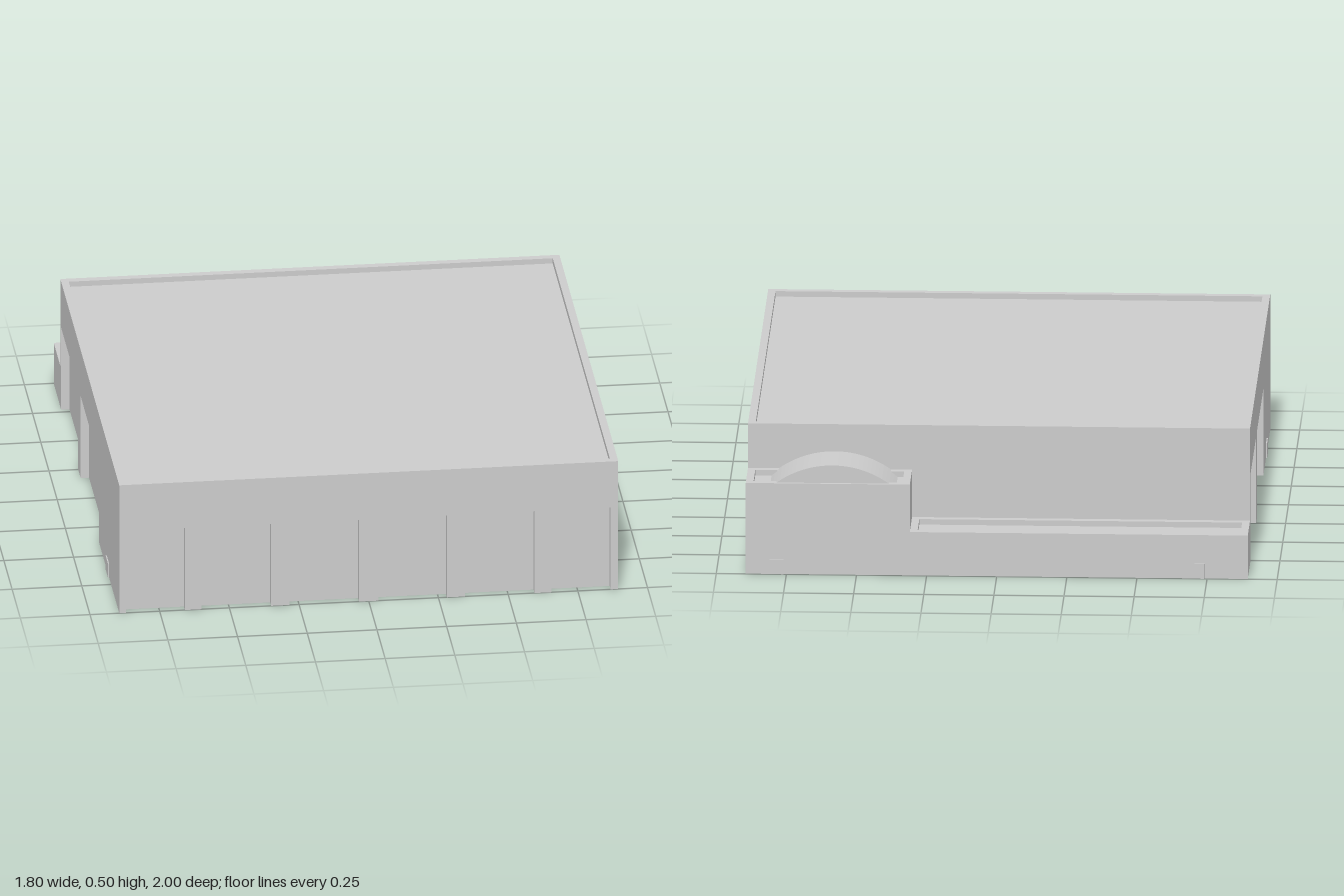
import * as THREE from 'three';

const material = new THREE.MeshStandardMaterial({ color: 0xcccccc, side: THREE.DoubleSide, flatShading: true });
const X = 0.895, FRONT = 1, MID = -0.795, BACK = -0.996; // outer planes of the shell
const RIM = 0.027, SINK = 0.02, DOOR_H = 0.32, RECESS = 0.03;

function add(parent, name, geometry, x = 0, y = 0, z = 0) {
  const mesh = new THREE.Mesh(geometry, material);
  mesh.name = name;
  mesh.position.set(x, y, z);
  parent.add(mesh);
  return mesh;
}

// Group whose local x runs along a wall and whose local z points outwards
function side(parent, name, angle, distance) {
  const group = new THREE.Group();
  group.name = name;
  group.rotation.y = angle;
  group.position.set(Math.sin(angle) * distance, 0, Math.cos(angle) * distance);
  parent.add(group);
  return group;
}

// Thin wall from u0 to u1 with door notches along its foot and recessed doors behind them
function wall(parent, name, u0, u1, y0, y1, doors = []) {
  const points = [[u0, y0]];
  for (const [a, b] of doors) points.push([a, y0], [a, DOOR_H], [b, DOOR_H], [b, y0]);
  points.push([u1, y0], [u1, y1], [u0, y1]);
  const shape = new THREE.Shape(points.map(([u, y]) => new THREE.Vector2(u, y)));
  add(parent, name, new THREE.ShapeGeometry(shape));
  for (const [a, b] of doors) {
    const mid = (a + b) / 2;
    add(parent, 'doorPanel', new THREE.PlaneGeometry(b - a, DOOR_H), mid, DOOR_H / 2, -RECESS);
    for (const u of [a, b]) {
      const jamb = add(parent, 'doorJamb', new THREE.PlaneGeometry(RECESS, DOOR_H), u, DOOR_H / 2, -RECESS / 2);
      jamb.rotation.y = u === a ? Math.PI / 2 : -Math.PI / 2;
    }
    add(parent, 'doorLintel', new THREE.PlaneGeometry(b - a, RECESS), mid, DOOR_H, -RECESS / 2).rotation.x = Math.PI / 2;
  }
}

// Small door slab standing slightly proud of a wall
function slab(parent, a, b) {
  add(parent, 'smallDoor', new THREE.BoxGeometry(b - a, 0.055, 0.004), (a + b) / 2, 0.0275, 0.002);
}

function rectangle(PathType, x0, x1, z0, z1) {
  return new PathType([[x0, -z1], [x1, -z1], [x1, -z0], [x0, -z0]].map(([x, y]) => new THREE.Vector2(x, y)));
}

// Flat roof sunk behind a raised rim
function roof(parent, name, x0, x1, z0, z1, top) {
  const frame = rectangle(THREE.Shape, x0, x1, z0, z1);
  frame.holes.push(rectangle(THREE.Path, x0 + RIM, x1 - RIM, z0 + RIM, z1 - RIM));
  const rim = new THREE.ExtrudeGeometry(frame, { depth: SINK, bevelEnabled: false });
  add(parent, name + 'Rim', rim, 0, top - SINK, 0).rotation.x = -Math.PI / 2;
  const deck = new THREE.PlaneGeometry(x1 - x0 - 2 * RIM, z1 - z0 - 2 * RIM);
  add(parent, name, deck, (x0 + x1) / 2, top - SINK, (z0 + z1) / 2).rotation.x = -Math.PI / 2;
}

export function createModel() {
  const model = new THREE.Group();
  model.name = 'building';
  const H = 0.5, HIGH = 0.335, LOW = 0.16, SPLIT = 0.31;

  // Front with six doors
  const front = side(model, 'front', 0, FRONT);
  wall(front, 'frontWall', -X, X, 0, H - SINK, [
    [-0.87, -0.66], [-0.6, -0.35], [-0.285, -0.035], [0.035, 0.28], [0.345, 0.595], [0.655, 0.868],
  ]);

  // Left side: local x runs towards the back
  const left = side(model, 'leftSide', Math.PI / 2, X);
  wall(left, 'leftWall', -FRONT, -MID, 0, H - SINK);
  wall(left, 'leftAnnexWall', -MID, -BACK, 0, HIGH - SINK);
  for (const [a, b] of [[0.42, 0.49], [0.3, 0.37], [-0.42, -0.15]]) slab(left, a, b);

  // Right side with two wide doors: local x runs towards the front
  const right = side(model, 'rightSide', -Math.PI / 2, X);
  wall(right, 'rightWall', MID, FRONT, 0, H - SINK, [[-0.77, -0.25], [-0.175, 0.385]]);
  wall(right, 'rightAnnexWall', BACK, MID, 0, LOW - SINK);
  slab(right, 0.62, 0.69);

  // Back of the annexes: local x is mirrored
  const back = side(model, 'back', Math.PI, -BACK);
  wall(back, 'highAnnexBack', -X, -SPLIT, 0, HIGH - SINK);
  wall(back, 'lowAnnexBack', -SPLIT, X, 0, LOW - SINK);
  slab(back, -0.84, -0.76);
  slab(back, 0.705, 0.74);

  // Hall wall above the annex roofs, and the step between them
  const hallBack = side(model, 'hallBack', Math.PI, -MID);
  wall(hallBack, 'hallBackOverHighAnnex', -X, -SPLIT, HIGH - SINK, H - SINK);
  wall(hallBack, 'hallBackOverLowAnnex', -SPLIT, X, LOW - SINK, H - SINK);
  const step = side(model, 'annexStep', -Math.PI / 2, -SPLIT);
  wall(step, 'annexStepWall', BACK, MID, LOW - SINK, HIGH - SINK);

  // Roofs
  roof(model, 'hallRoof', -X, X, MID, FRONT, H);
  roof(model, 'lowAnnexRoof', -X, SPLIT, BACK, MID, LOW);
  roof(model, 'highAnnexRoof', SPLIT, X, BACK, MID, HIGH);

  // Shallow barrel vault on the high annex
  const base = HIGH - SINK, rise = 0.4 - base, half = 0.225;
  const radius = (half * half + rise * rise) / (2 * rise);
  const spread = Math.asin(half / radius);
  const arch = new THREE.Shape();
  arch.absarc(0, 0.4 - base - radius, radius, Math.PI / 2 - spread, Math.PI / 2 + spread, false);
  arch.closePath();
  const vault = new THREE.ExtrudeGeometry(arch, { depth: MID + 0.985, bevelEnabled: false, curveSegments: 16 });
  add(model, 'barrelVault', vault, 0.585, base, -0.985);

  return model;
}
